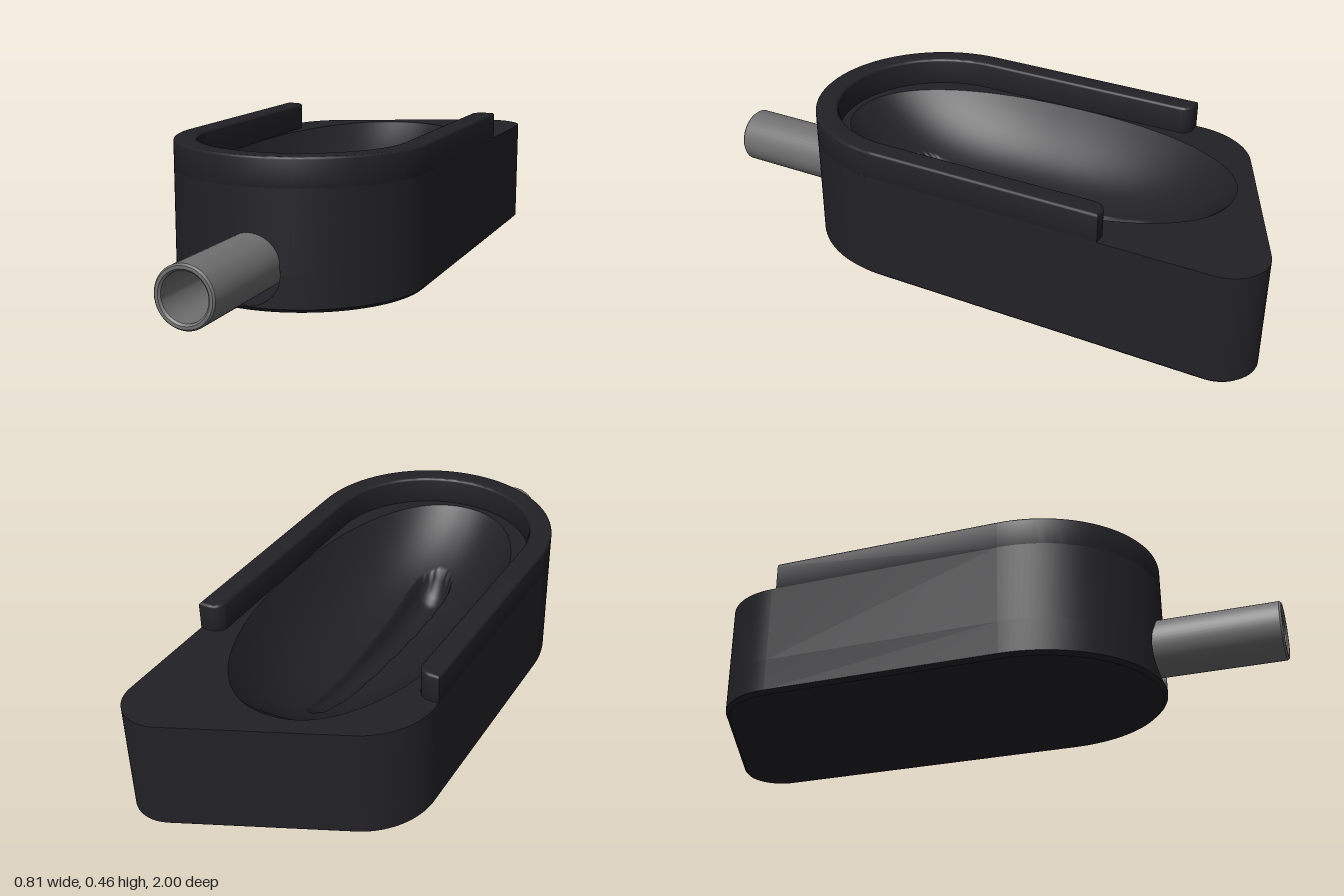
import * as THREE from 'three';
import { toCreasedNormals } from 'three/addons/utils/BufferGeometryUtils.js';

const W = 0.404, DECK = 0.365, TOP = 0.455;
const BORE = { y: 0.115, r: 0.1, back: 0.38 };
const DISH = { z: -0.135, a: 0.33, b: 0.665, n: 2.2, depth: 0.215 };
const rad = THREE.MathUtils.degToRad;

// Plan shapes are drawn in (x, -z) and laid flat afterwards.
function arc(cx, cy, r, a0, a1, n) {
  return Array.from({ length: n + 1 }, (_, i) => {
    const a = rad(a0 + (a1 - a0) * i / n);
    return new THREE.Vector2(cx + r * Math.cos(a), cy + r * Math.sin(a));
  });
}

// Body outline, counter-clockwise; the front arc has columns matching the bore.
function outline(inset) {
  const half = THREE.MathUtils.radToDeg(Math.asin(BORE.r / W));
  return [
    ...arc(0, -0.22, W - inset, 180, 270 - half, 30),
    ...arc(0, -0.22, W - inset, 270 - half, 270 + half, 32).slice(1),
    ...arc(0, -0.22, W - inset, 270 + half, 360, 30).slice(1),
    ...arc(W - 0.12, 0.88, 0.12 - inset, 0, 113.9, 20),
    ...arc(0.24 - W, 0.55, 0.24 - inset, 113.9, 180, 20),
  ];
}

function grid(rows, cols, point) {
  const pos = [], idx = [];
  for (let j = 0; j <= rows; j++)
    for (let i = 0; i <= cols; i++) pos.push(...point(i, j));
  for (let j = 0; j < rows; j++)
    for (let i = 0; i < cols; i++) {
      const a = j * (cols + 1) + i, b = a + 1, c = a + cols + 1, d = c + 1;
      idx.push(a, b, d, a, d, c);
    }
  const g = new THREE.BufferGeometry();
  g.setAttribute('position', new THREE.Float32BufferAttribute(pos, 3));
  g.setIndex(idx);
  return g;
}

// Side wall in two bands, leaving a round opening at the front.
function wallBand(upper) {
  const outer = outline(0), inner = outline(0.012), n = outer.length;
  const g = grid(upper ? 1 : 2, n, (i, j) => {
    const p = outer[i % n], q = inner[i % n];
    const h = p.y < -0.5 ? Math.sqrt(Math.max(0, BORE.r ** 2 - p.x ** 2)) : 0;
    if (upper) return [p.x, j ? DECK : BORE.y + h, -p.y];
    if (j === 0) return [q.x, 0, -q.y];
    return [p.x, j === 1 ? 0.012 : BORE.y - h, -p.y];
  });
  return toCreasedNormals(g, 0.6);
}

const dishHalfWidth = (dz) =>
  DISH.a * Math.max(0, 1 - Math.abs(dz / DISH.b) ** DISH.n) ** (1 / DISH.n);

// Bowl height, with a drain groove that widens and deepens to the front.
function dishHeight(x, z) {
  const r = (Math.abs(x / DISH.a) ** DISH.n + Math.abs((z - DISH.z) / DISH.b) ** DISH.n) ** (1 / DISH.n);
  let y = DECK - DISH.depth * (1 - Math.min(1, r) ** 3);
  const t = (z + 0.57) / 0.88;
  if (t > 0 && t < 1) {
    const ends = Math.sqrt(Math.min(1, t / 0.04, (1 - t) / 0.07));
    const hw = (0.026 + 0.042 * t) * ends;
    const k = 1 - (x / hw) ** 2;
    if (k > 0) y -= (0.01 + 0.08 * t) * ends * Math.sqrt(k);
  }
  return y;
}

export function createModel() {
  const group = new THREE.Group();
  const dark = new THREE.MeshStandardMaterial({ color: 0x222126, side: THREE.DoubleSide });
  const grey = new THREE.MeshStandardMaterial({ color: 0x707070, side: THREE.DoubleSide });
  const add = (name, geometry, material = dark) => {
    const m = new THREE.Mesh(geometry, material);
    m.name = name;
    group.add(m);
  };

  // Body shell
  add('lowerWall', wallBand(false));
  add('upperWall', wallBand(true));
  add('base', new THREE.ShapeGeometry(new THREE.Shape(outline(0.012))).rotateX(-Math.PI / 2));

  // Deck with the dish opening
  const rows = 96, cols = 80;
  const rowOffset = (j) => -DISH.b * Math.cos(Math.PI * j / rows);
  const edge = [];
  for (let j = 0; j <= rows; j++) edge.push(new THREE.Vector2(dishHalfWidth(rowOffset(j)), -DISH.z - rowOffset(j)));
  for (let j = rows - 1; j > 0; j--) edge.push(new THREE.Vector2(-dishHalfWidth(rowOffset(j)), -DISH.z - rowOffset(j)));
  const deck = new THREE.Shape(outline(0));
  deck.holes.push(new THREE.Path(edge));
  add('deck', new THREE.ShapeGeometry(deck).rotateX(-Math.PI / 2).translate(0, DECK, 0));

  // Dish, with columns crowded towards the groove
  const dish = grid(rows, cols, (i, j) => {
    const u = 1 - 2 * i / cols, dz = rowOffset(j);
    const x = dishHalfWidth(dz) * u * Math.abs(u);
    return [x, dishHeight(x, dz + DISH.z), dz + DISH.z];
  });
  dish.computeVertexNormals();
  add('dish', dish);

  // Raised U-shaped rim, open at the back
  const rim = new THREE.Shape([
    new THREE.Vector2(-W, 0.535),
    ...arc(0, -0.22, W, 180, 360, 64),
    new THREE.Vector2(W, 0.535),
    ...arc(0.372, 0.495, 0.04, 90, 180, 8),
    ...arc(0, -0.22, 0.332, 360, 180, 64),
    ...arc(-0.372, 0.495, 0.04, 0, 90, 8),
  ]);
  const bevel = 0.008;
  const rimGeo = new THREE.ExtrudeGeometry(rim, {
    depth: TOP - DECK - bevel, bevelEnabled: true, bevelSize: bevel, bevelThickness: bevel,
    bevelOffset: -bevel, bevelSegments: 3,
  }).rotateX(-Math.PI / 2).translate(0, DECK, 0);
  add('rim', toCreasedNormals(rimGeo, 0.6));

  // Bore behind the front opening, trimmed to the curved wall and narrowing inwards
  const bore = new THREE.CylinderGeometry(BORE.r, BORE.r, 1, 48, 1, true).rotateX(Math.PI / 2);
  const p = bore.attributes.position;
  for (let i = 0; i < p.count; i++) {
    const x = p.getX(i), y = p.getY(i);
    if (p.getZ(i) > 0) p.setZ(i, 0.22 + Math.sqrt(W * W - x * x));
    else p.setXYZ(i, x * 0.85, y * 0.85 + 0.01, BORE.back);
  }
  bore.computeVertexNormals();
  add('bore', bore.translate(0, BORE.y, 0));
  add('boreEnd', new THREE.CircleGeometry(BORE.r * 0.85, 48).translate(0, BORE.y + 0.01, BORE.back));

  // Hollow outlet pipe, its passage narrowing towards the body
  const profile = [[0.062, 0.42], [0.091, 0.42], [0.091, 0.994], [0.086, 1], [0.077, 1], [0.071, 0.994], [0.069, 0.6], [0.062, 0.59], [0.062, 0.42]]
    .map(([r, z]) => new THREE.Vector2(r, z));
  const pipe = toCreasedNormals(new THREE.LatheGeometry(profile, 48), 0.5);
  add('outletPipe', pipe.rotateX(Math.PI / 2).translate(0.007, 0.141, 0), grey);

  return group;
}
